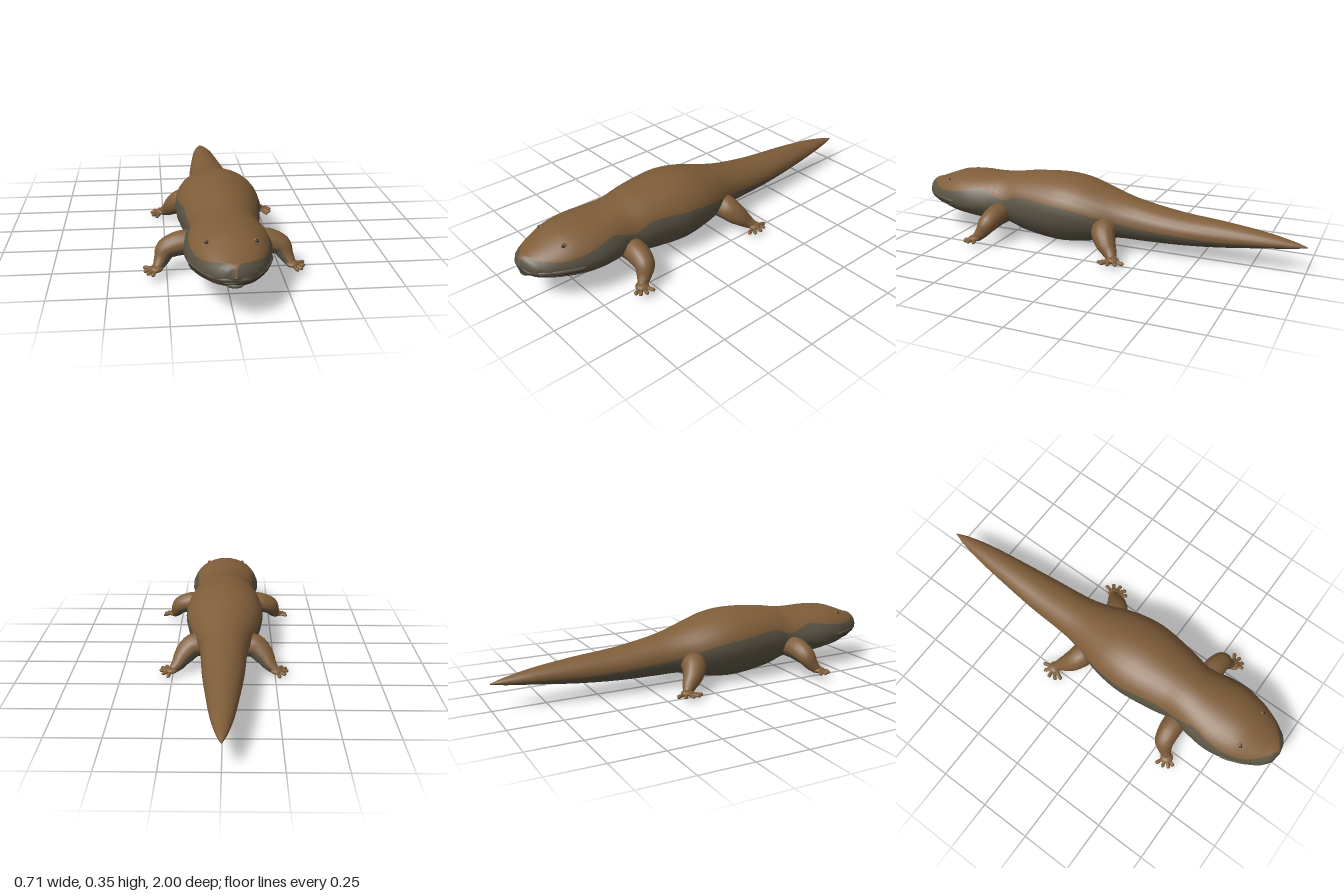
import * as THREE from 'three';

const brown = new THREE.MeshStandardMaterial({ name: 'brown back', color: 0x7f5d39 });
const grey = new THREE.MeshStandardMaterial({ name: 'grey belly', color: 0x5c5545 });
const dark = new THREE.MeshStandardMaterial({ name: 'dark mouth', color: 0x2c261f });

// Body stations: z, half width, top, bottom, height of widest point, colour line
const STATIONS = [
  [1.0, 0.004, 0.2, 0.19, 0.195, 0.22],
  [0.988, 0.055, 0.235, 0.16, 0.19, 0.24],
  [0.95, 0.098, 0.25, 0.138, 0.188, 0.236],
  [0.88, 0.138, 0.277, 0.112, 0.185, 0.222],
  [0.8, 0.168, 0.304, 0.09, 0.18, 0.225],
  [0.7, 0.184, 0.312, 0.075, 0.178, 0.24],
  [0.6, 0.175, 0.312, 0.067, 0.178, 0.25],
  [0.5, 0.156, 0.32, 0.058, 0.18, 0.21],
  [0.4, 0.175, 0.336, 0.026, 0.185, 0.243],
  [0.22, 0.197, 0.348, 0.001, 0.19, 0.23],
  [0.1, 0.19, 0.335, 0.01, 0.185, 0.215],
  [0.0, 0.166, 0.306, 0.032, 0.175, 0.19],
  [-0.1, 0.132, 0.275, 0.054, 0.162, 0.165],
  [-0.2, 0.113, 0.25, 0.055, 0.15, 0.145],
  [-0.4, 0.098, 0.216, 0.06, 0.138, 0.128],
  [-0.6, 0.077, 0.199, 0.075, 0.135, 0.12],
  [-0.8, 0.052, 0.175, 0.1, 0.135, 0.125],
  [-0.93, 0.025, 0.15, 0.115, 0.132, 0.125],
  [-1.0, 0.002, 0.131, 0.127, 0.129, 0.128],
];

// Linear lookup of a station along z
function stationAt(z) {
  let i = 0;
  while (i < STATIONS.length - 2 && STATIONS[i + 1][0] > z) i++;
  const a = STATIONS[i], b = STATIONS[i + 1];
  const k = (z - a[0]) / (b[0] - a[0]);
  return a.map((v, n) => v + (b[n] - v) * k);
}

// Skins closed rings; column colour 0 or 1 picks the material group
function loft(rings, columnColour) {
  const n = rings[0].length;
  const faces = [[], []];
  for (let i = 0; i < rings.length - 1; i++) {
    for (let j = 0; j < n; j++) {
      const a = i * n + j, b = i * n + (j + 1) % n;
      faces[columnColour(j)].push(a, a + n, b, b, a + n, b + n);
    }
  }
  const g = new THREE.BufferGeometry().setFromPoints(rings.flat());
  g.setIndex([...faces[0], ...faces[1]]);
  g.addGroup(0, faces[0].length, 0);
  g.addGroup(faces[0].length, faces[1].length, 1);
  g.computeVertexNormals();
  return g;
}

function add(parent, name, geometry, material) {
  const m = new THREE.Mesh(geometry, material);
  m.name = name;
  parent.add(m);
  return m;
}

// Head, trunk and tail in one skin, split along the colour line
function bodyGeometry() {
  const UP = 12, DOWN = 14, STEPS = 3, rings = [];
  const at = i => STATIONS[Math.min(Math.max(i, 0), STATIONS.length - 1)];
  for (let i = 0; i < STATIONS.length - 1; i++) {
    const last = i === STATIONS.length - 2;
    for (let s = 0; s < STEPS + (last ? 1 : 0); s++) {
      const t = s / STEPS;
      const [z, w, top, bottom, mid, line] = at(i).map((v, c) => {
        const h = at(i + 1)[c];
        if (c === 0 || i === 0) return v + (h - v) * t;
        // Tangents weighted by station spacing
        const d = at(i + 1)[0] - at(i)[0];
        const m0 = (h - at(i - 1)[c]) / (at(i + 1)[0] - at(i - 1)[0]) * d;
        const m1 = (at(i + 2)[c] - v) / (at(i + 2)[0] - at(i)[0]) * d;
        const t2 = t * t, t3 = t2 * t;
        return (2 * t3 - 3 * t2 + 1) * v + (t3 - 2 * t2 + t) * m0 + (3 * t2 - 2 * t3) * h + (t3 - t2) * m1;
      });
      const rel = line > mid ? (line - mid) / (top - mid) : (line - mid) / (mid - bottom);
      const a0 = Math.asin(THREE.MathUtils.clamp(rel, -0.9, 0.985));
      const ring = [];
      for (let j = 0; j < UP + DOWN; j++) {
        const a = j < UP
          ? a0 + (Math.PI - 2 * a0) * j / UP
          : Math.PI - a0 + (Math.PI + 2 * a0) * (j - UP) / DOWN;
        const sn = Math.sin(a);
        ring.push(new THREE.Vector3(w * Math.cos(a), mid + sn * (sn > 0 ? top - mid : mid - bottom), z));
      }
      rings.push(ring);
    }
  }
  return loft(rings, j => (j < UP ? 0 : 1));
}

// Tapered limb along points [x, y, z, radius]; side is 1 for left, -1 for right
function limbGeometry(points, side, sides, steps, flat = 1) {
  const curve = new THREE.CatmullRomCurve3(points.map(p => new THREE.Vector3(p[0], p[1], p[2])));
  const rings = [];
  for (let i = 0; i <= steps; i++) {
    const t = i / steps, f = t * (points.length - 1);
    const k = Math.min(Math.floor(f), points.length - 2);
    const r = THREE.MathUtils.lerp(points[k][3], points[k + 1][3], f - k);
    const c = curve.getPoint(t), tan = curve.getTangent(t);
    const n = new THREE.Vector3(0, 0, 1).cross(tan).normalize();
    const b = n.clone().cross(tan);
    const ring = [];
    for (let j = 0; j < sides; j++) {
      const a = side * (j + 0.5) / sides * Math.PI * 2;
      const p = c.clone().addScaledVector(n, r * flat * Math.cos(a)).addScaledVector(b, r * Math.sin(a));
      p.x *= side;
      ring.push(p);
    }
    rings.push(ring);
  }
  // Underside columns are grey
  return loft(rings, j => (Math.cos((j + 1) / sides * Math.PI * 2) < -0.1 ? 1 : 0));
}

const LEGS = [
  {
    name: 'front', palm: [0.295, 0.045, 0.575],
    path: [[0.11, 0.135, 0.515, 0.056], [0.19, 0.135, 0.515, 0.055], [0.25, 0.112, 0.525, 0.048],
      [0.272, 0.075, 0.545, 0.034], [0.29, 0.045, 0.57, 0.022]],
    toes: [[0.352, 0.04, 0.548], [0.35, 0.038, 0.585], [0.335, 0.036, 0.615], [0.312, 0.034, 0.628]],
  },
  {
    name: 'hind', palm: [0.255, 0.028, -0.15],
    path: [[0.08, 0.125, -0.05, 0.06], [0.15, 0.12, -0.06, 0.06], [0.195, 0.085, -0.09, 0.05],
      [0.225, 0.05, -0.125, 0.034], [0.25, 0.03, -0.147, 0.022]],
    toes: [[0.287, 0.02, -0.085], [0.308, 0.022, -0.108], [0.315, 0.024, -0.145], [0.3, 0.022, -0.185], [0.27, 0.02, -0.212]],
  },
];

// Curve hugging the jaw at a given height and offset
function jawCurve(y, dip, out, backZ) {
  const pts = [];
  for (let i = 0; i <= 24; i++) {
    const u = i / 12 - 1;
    const z = 0.992 - (0.992 - backZ) * u * u;
    const [, w, , bottom, mid] = stationAt(z);
    const h = y - dip * u * u;
    const k = Math.min(0.9, Math.abs(h - mid) / (mid - bottom));
    pts.push(new THREE.Vector3(Math.sign(u) * (w * Math.sqrt(1 - k * k) + out), h, z + out * (1 - u * u)));
  }
  pts[12].x = 0;
  return new THREE.CatmullRomCurve3(pts);
}

export function createModel() {
  const model = new THREE.Group();
  model.name = 'salamander';
  add(model, 'body', bodyGeometry(), [brown, grey]);

  // Mouth slit between two lips
  add(model, 'upperLip', new THREE.TubeGeometry(jawCurve(0.182, 0.008, -0.004, 0.78), 48, 0.009, 8), grey);
  add(model, 'mouthSlit', new THREE.TubeGeometry(jawCurve(0.167, 0.008, -0.002, 0.79), 48, 0.006, 6), dark);
  add(model, 'lowerLip', new THREE.TubeGeometry(jawCurve(0.154, 0.003, -0.005, 0.79), 48, 0.008, 8), grey);

  for (const side of [1, -1]) {
    const label = side > 0 ? 'left' : 'right';

    // Small eye bead in a low lid
    const lid = add(model, label + 'Eyelid', new THREE.SphereGeometry(0.012, 12, 8), brown);
    lid.position.set(side * 0.094, 0.268, 0.825);
    const eye = add(model, label + 'Eye', new THREE.SphereGeometry(0.008, 10, 8), dark);
    eye.position.set(side * 0.098, 0.27, 0.832);

    // Sprawling legs with splayed toes
    for (const leg of LEGS) {
      const group = new THREE.Group();
      group.name = `${label} ${leg.name} leg`;
      model.add(group);
      add(group, 'limb', limbGeometry(leg.path, side, 16, 16), [brown, grey]);
      const [px, py, pz] = leg.palm;
      const palm = add(group, 'palm', new THREE.SphereGeometry(1, 14, 10), brown);
      palm.position.set(side * px, py, pz);
      palm.scale.set(0.03, 0.015, 0.032);
      for (const [x, y, z] of leg.toes) {
        const mix = (k, r) => [px + (x - px) * k, py + (y - py) * k, pz + (z - pz) * k, r];
        const toe = [mix(0.2, 0.011), mix(0.6, 0.009), mix(0.85, 0.01), mix(0.96, 0.007), mix(1, 0.0005)];
        add(group, 'toe', limbGeometry(toe, side, 8, 8, 0.85), [brown, grey]);
      }
    }
  }
  return model;
}
